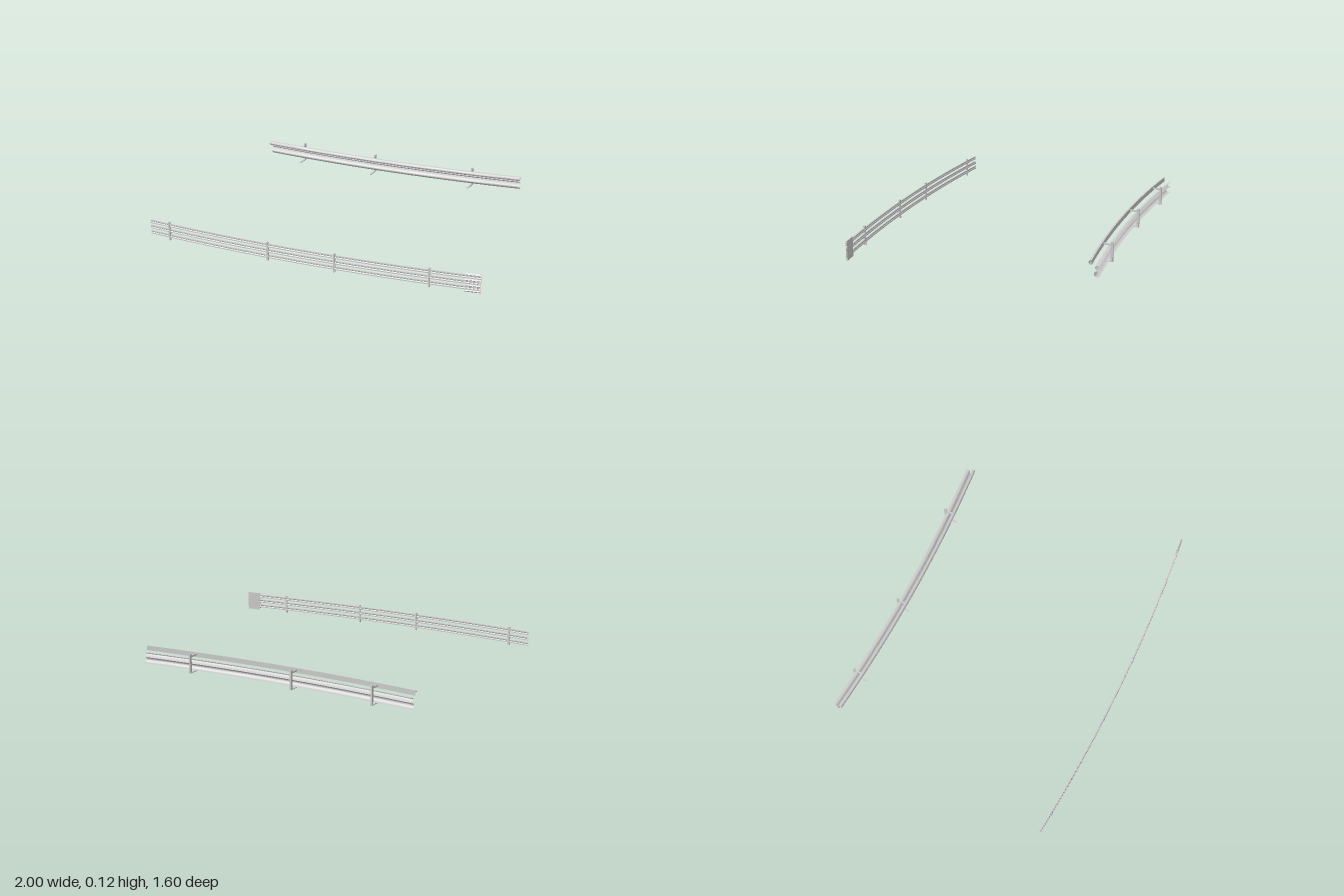
import * as THREE from 'three';
import { toCreasedNormals } from 'three/addons/utils/BufferGeometryUtils.js';

const grey = new THREE.MeshStandardMaterial({ color: 0xcccccc, side: THREE.DoubleSide });

// Both barriers follow shallow parabolas that bend towards the back.
const fenceZ = (x) => 0.795 - 0.0495 * (x + 1) ** 2;
const beamShift = (x) => -0.056 * (x + 1) ** 2;

// Sweeps a [z, y] profile along x, shifting it sideways by path(x).
function sweep(profile, path, x0, x1, steps) {
  const pos = [], idx = [], n = profile.length;
  for (let i = 0; i <= steps; i++) {
    const x = x0 + ((x1 - x0) * i) / steps;
    for (const [z, y] of profile) pos.push(x, y, z + path(x));
  }
  for (let i = 0; i < steps; i++) {
    for (let j = 0; j < n - 1; j++) {
      const a = i * n + j, b = a + n;
      idx.push(a, b, a + 1, a + 1, b, b + 1);
    }
  }
  const g = new THREE.BufferGeometry();
  g.setAttribute('position', new THREE.Float32BufferAttribute(pos, 3));
  g.setIndex(idx);
  return toCreasedNormals(g, 0.5);
}

function add(parent, name, geometry, x = 0, y = 0, z = 0) {
  const mesh = new THREE.Mesh(geometry, grey);
  mesh.name = name;
  mesh.position.set(x, y, z);
  parent.add(mesh);
  return mesh;
}

const smooth = (points, count) =>
  new THREE.SplineCurve(points.map(([z, y]) => new THREE.Vector2(z, y)))
    .getPoints(count).map((p) => [p.x, p.y]);

// Front fence: three grooved rails, posts and a ribbed end plate
function frontFence() {
  const fence = new THREE.Group();
  fence.name = 'frontFence';

  // Grooved rail section, the same on its front and back faces
  const face = [[0.004, -0.01], [0.004, -0.004], [0, 0], [0.004, 0.004], [0.004, 0.01]];
  const back = face.map(([z, y]) => [-z, -y]);
  const section = [...face, ...back, face[0]];
  for (const y of [0.026, 0.06, 0.094]) {
    const bar = section.map(([dz, dy]) => [dz, y + dy]);
    add(fence, 'fenceRail', sweep(bar, fenceZ, -1, 1, 20));
  }

  for (const x of [-0.87, -0.225, 0.18, 0.72]) {
    const post = add(fence, 'fencePost', new THREE.BoxGeometry(0.01, 0.115, 0.012), x, 0.0575, fenceZ(x));
    post.rotation.y = Math.atan(0.099 * (x + 1));
  }

  // End plate: smooth back, ribbed front
  const plate = [[-0.006, 0.115], [-0.006, 0]];
  const ribs = 7;
  for (let i = 0; i <= ribs * 2; i++) plate.push([i % 2 ? 0.005 : -0.003, (0.115 * i) / (ribs * 2)]);
  plate.push(plate[0]);
  add(fence, 'endPlate', sweep(plate, fenceZ, 0.915, 1, 1));
  return fence;
}

// Back guardrail: double-hump beam, upper rounded rail and footed posts
function backGuardrail() {
  const rail = new THREE.Group();
  rail.name = 'backGuardrail';
  const beam = smooth([[-0.636, 0.018], [-0.616, 0.02], [-0.605, 0.035], [-0.616, 0.049],
    [-0.634, 0.055], [-0.622, 0.06], [-0.611, 0.07], [-0.62, 0.081], [-0.636, 0.083]], 96);
  add(rail, 'doubleBeam', sweep(beam, beamShift, -1, 0.718, 24));

  const upper = smooth([[-0.593, 0.085], [-0.581, 0.088], [-0.575, 0.099],
    [-0.581, 0.11], [-0.593, 0.113]], 40);
  upper.push(upper[0]);
  add(rail, 'upperRail', sweep(upper, beamShift, -1, 0.724, 24));

  for (const x of [-0.765, -0.255, 0.4]) {
    const post = new THREE.Group();
    post.name = 'guardrailPost';
    post.position.set(x, 0, beamShift(x));
    add(post, 'upright', new THREE.BoxGeometry(0.01, 0.115, 0.014), 0, 0.0575, -0.644);
    add(post, 'foot', new THREE.BoxGeometry(0.012, 0.005, 0.08), 0, 0.0025, -0.611);
    add(post, 'upperArm', new THREE.BoxGeometry(0.008, 0.01, 0.055), 0, 0.099, -0.612);
    rail.add(post);
  }
  return rail;
}

export function createModel() {
  const model = new THREE.Group();
  model.name = 'trackBarriers';
  model.add(frontFence(), backGuardrail());
  return model;
}
